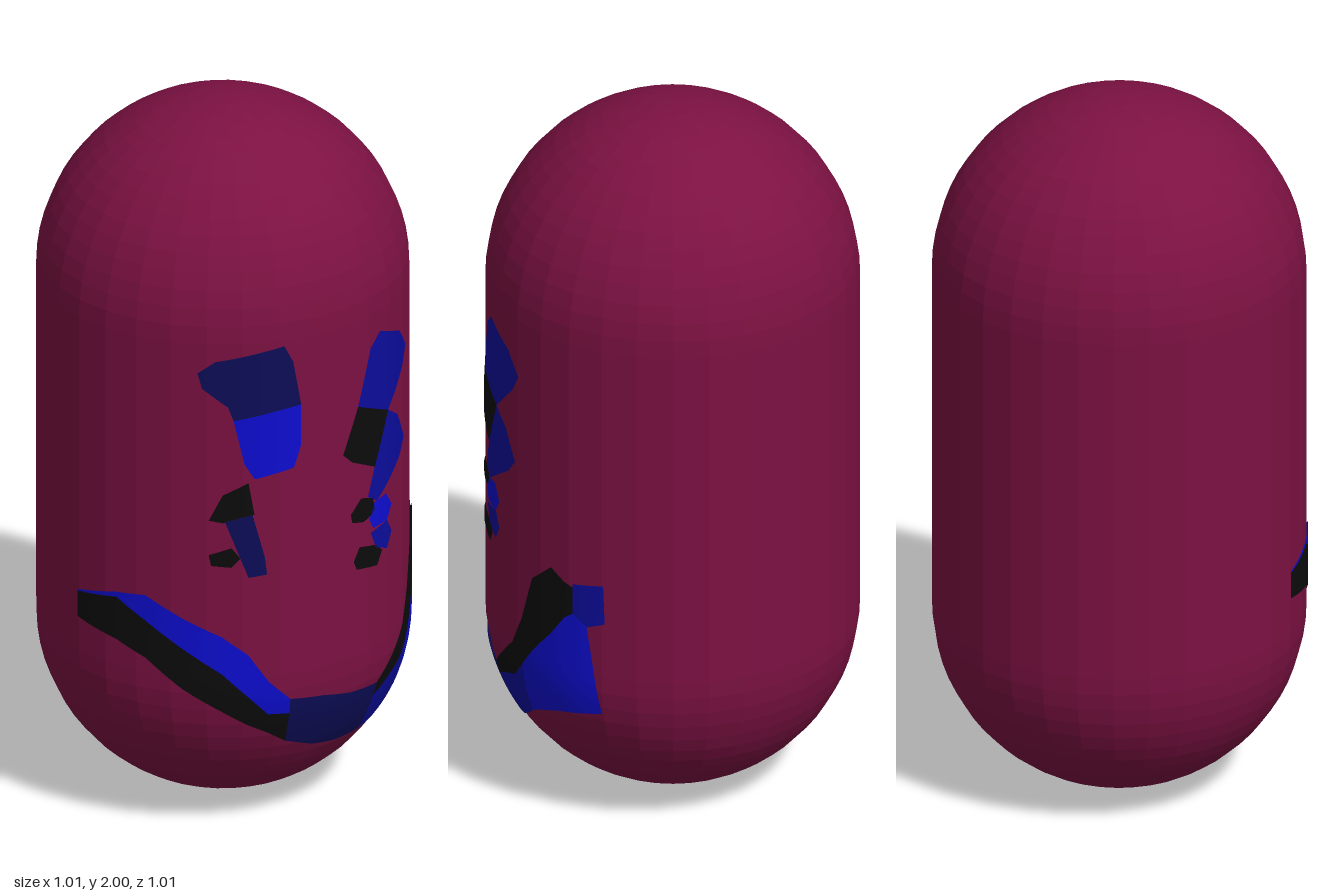
import * as THREE from 'three';
import { mergeVertices } from 'three/addons/utils/BufferGeometryUtils.js';

const R = 0.505, H = 2;
const mat = (name, color, extra = {}) => new THREE.MeshStandardMaterial({ name, color, ...extra });

// Horizontal radius of the capsule at height y
function radiusAt(y) {
  const d = y < R ? R - y : Math.max(0, y - (H - R));
  return Math.sqrt(Math.max(0, R * R - d * d));
}

// Point just off the capsule at angle a (radians from the front towards +x)
function onBody(a, y) {
  const r = radiusAt(y) + 0.004;
  return [r * Math.sin(a), y < R ? y - 0.004 * (R - y) / R : y, r * Math.cos(a)];
}

// Converts front x to an angle around the body
const fromFront = ([x, y]) => [Math.asin(x / radiusAt(y)), y];
const deg = ([a, y]) => [THREE.MathUtils.degToRad(a), y];

// Thin painted patch: an outline in (angle, y), split finely and wrapped round the body
function patch(name, outline, material) {
  const flat = new THREE.ShapeGeometry(new THREE.Shape(outline.map(([a, y]) => new THREE.Vector2(a, y))));
  const pos = flat.attributes.position, idx = flat.index.array;
  const out = [];
  const mid = (p, q) => [(p[0] + q[0]) / 2, (p[1] + q[1]) / 2];
  const split = (p, q, r, n) => {
    if (n === 0) {
      out.push(...onBody(...p), ...onBody(...q), ...onBody(...r));
      return;
    }
    const a = mid(p, q), b = mid(q, r), c = mid(r, p);
    split(p, a, c, n - 1);
    split(a, q, b, n - 1);
    split(c, b, r, n - 1);
    split(a, b, c, n - 1);
  };
  const v = i => [pos.getX(idx[i]), pos.getY(idx[i])];
  for (let i = 0; i < idx.length; i += 3) split(v(i), v(i + 1), v(i + 2), 3);
  let geo = new THREE.BufferGeometry();
  geo.setAttribute('position', new THREE.Float32BufferAttribute(out, 3));
  geo = mergeVertices(geo, 1e-5);
  geo.computeVertexNormals();
  const mesh = new THREE.Mesh(geo, material);
  mesh.name = name;
  return mesh;
}

export function createModel() {
  const maroon = mat('maroon', 0x7c1142, { flatShading: true });
  const side = { side: THREE.DoubleSide };
  const black = mat('black', 0x0c0c0c, side);
  const navy = mat('navy', 0x0d0d58, side);
  const royal = mat('royal blue', 0x0c0c9c, side);
  const blue = mat('bright blue', 0x0d0dd0, side);

  const model = new THREE.Group();
  model.name = 'capsuleFigure';

  // Body
  const body = new THREE.Mesh(new THREE.CapsuleGeometry(R, H - 2 * R, 16, 32), maroon);
  body.name = 'body';
  body.position.y = H / 2;
  model.add(body);

  // Eyes: blocks of paint, outlined in front x and y
  const rightEye = [
    [navy, [[-0.30, 1.41], [-0.26, 1.445], [-0.085, 1.48], [-0.06, 1.43], [-0.037, 1.30], [-0.11, 1.29], [-0.217, 1.27], [-0.23, 1.31], [-0.29, 1.365]]],
    [blue, [[-0.217, 1.27], [-0.11, 1.29], [-0.037, 1.30], [-0.037, 1.18], [-0.058, 1.116], [-0.164, 1.095], [-0.19, 1.14]]],
    [black, [[-0.275, 0.975], [-0.243, 1.05], [-0.18, 1.085], [-0.165, 0.99], [-0.243, 0.968]]],
    [navy, [[-0.238, 0.973], [-0.17, 0.99], [-0.138, 0.862], [-0.132, 0.81], [-0.18, 0.804], [-0.206, 0.878]]],
    [black, [[-0.275, 0.873], [-0.222, 0.894], [-0.20, 0.862], [-0.222, 0.836], [-0.27, 0.841]]],
  ];
  const leftEye = [
    [royal, [[0.148, 1.243], [0.196, 1.40], [0.233, 1.434], [0.328, 1.39], [0.365, 1.328], [0.344, 1.275], [0.27, 1.185]]],
    [black, [[0.095, 1.116], [0.148, 1.243], [0.27, 1.185], [0.212, 1.042], [0.127, 1.085]]],
    [royal, [[0.27, 1.185], [0.317, 1.148], [0.354, 1.063], [0.328, 1.02], [0.222, 0.937], [0.185, 0.963], [0.212, 1.042]]],
    [black, [[0.122, 0.931], [0.159, 0.968], [0.206, 0.952], [0.212, 0.91], [0.169, 0.894], [0.127, 0.905]]],
    [blue, [[0.212, 0.937], [0.26, 0.942], [0.286, 0.90], [0.265, 0.862], [0.206, 0.862], [0.19, 0.894]]],
    [royal, [[0.196, 0.852], [0.265, 0.862], [0.286, 0.82], [0.265, 0.778], [0.217, 0.80]]],
    [black, [[0.132, 0.788], [0.153, 0.825], [0.212, 0.81], [0.243, 0.783], [0.222, 0.746], [0.143, 0.762]]],
  ];
  for (const [name, blocks] of [['rightEye', rightEye], ['leftEye', leftEye]]) {
    const eye = new THREE.Group();
    eye.name = name;
    blocks.forEach(([m, pts], i) => eye.add(patch(`${name}Block${i + 1}`, pts.map(fromFront), m)));
    model.add(eye);
  }

  // Mouth: rows of [angle in degrees, top, middle, bottom]; upper and lower bands per stretch
  const mouth = new THREE.Group();
  mouth.name = 'mouth';
  const stretches = [
    ['mouthRightEnd', blue, black, [
      [-79, 0.69, 0.685, 0.61], [-63, 0.725, 0.71, 0.585], [-53, 0.735, 0.66, 0.55],
      [-41, 0.68, 0.59, 0.47], [-29, 0.63, 0.52, 0.405], [-21, 0.575, 0.45, 0.36],
      [-14.5, 0.49, 0.39, 0.33], [-7.5, 0.43, 0.385, 0.29]]],
    ['mouthCentre', navy, navy, [
      [-7.5, 0.43, 0.385, 0.29], [4, 0.42, 0.37, 0.255], [15, 0.40, 0.36, 0.24], [28, 0.39, 0.35, 0.24]]],
    ['mouthLeftEnd', black, royal, [
      [28, 0.39, 0.35, 0.24], [36, 0.45, 0.385, 0.25], [43, 0.51, 0.41, 0.28], [48, 0.60, 0.46, 0.31]]],
    ['mouthLeftCorner', black, blue, [
      [48, 0.60, 0.46, 0.31], [53, 0.74, 0.52, 0.33], [61, 0.80, 0.60, 0.355],
      [66, 0.77, 0.66, 0.365], [69, 0.76, 0.68, 0.37]]],
  ];
  for (const [name, upper, lower, rows] of stretches) {
    [upper, lower].forEach((m, k) => {
      const top = rows.map(r => [r[0], r[1 + k]]);
      const bottom = rows.map(r => [r[0], r[2 + k]]).reverse();
      mouth.add(patch(name + (k ? 'Lower' : 'Upper'), [...top, ...bottom].map(deg), m));
    });
  }
  // Far corner of the mouth on the model's left
  mouth.add(patch('mouthLeftTip', [[69, 0.77], [79.5, 0.785], [80, 0.67], [74, 0.65], [69, 0.68]].map(deg), royal));
  mouth.add(patch('mouthLeftCheek', [[69, 0.68], [74, 0.65], [76, 0.54], [78.5, 0.39], [69, 0.37]].map(deg), blue));
  model.add(mouth);

  return model;
}
